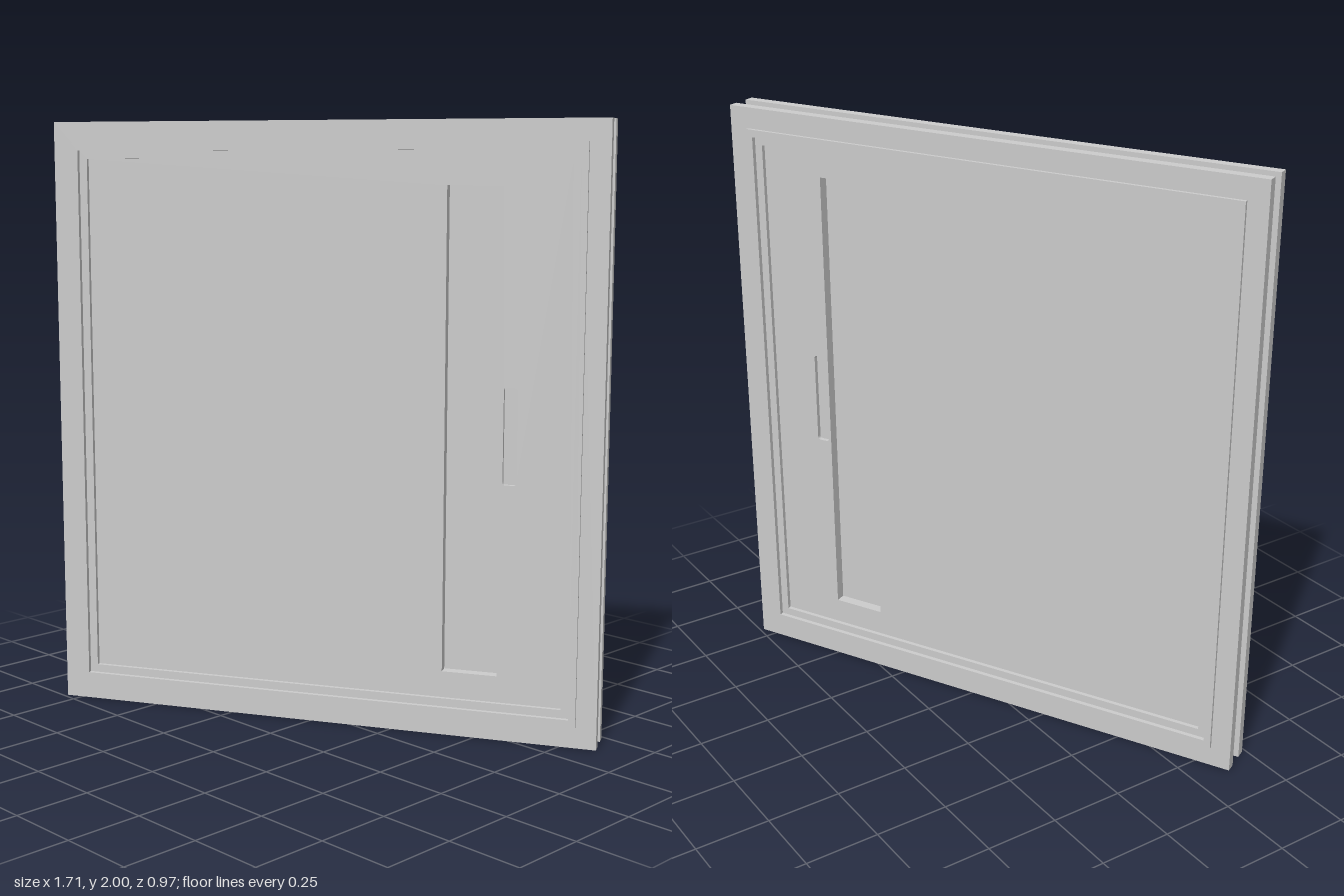
import * as THREE from 'three';

const material = new THREE.MeshStandardMaterial({ color: 0xcccccc });
const MID = 1; // half height of the door

// Rectangle outline with optional rounded corners
function rect(PathType, x0, x1, y0, y1, r = 0) {
  const p = new PathType();
  if (!r) {
    p.moveTo(x0, y0); p.lineTo(x1, y0); p.lineTo(x1, y1); p.lineTo(x0, y1);
  } else {
    p.moveTo(x0 + r, y0);
    p.lineTo(x1 - r, y0); p.quadraticCurveTo(x1, y0, x1, y0 + r);
    p.lineTo(x1, y1 - r); p.quadraticCurveTo(x1, y1, x1 - r, y1);
    p.lineTo(x0 + r, y1); p.quadraticCurveTo(x0, y1, x0, y1 - r);
    p.lineTo(x0, y0 + r); p.quadraticCurveTo(x0, y0, x0 + r, y0);
  }
  p.closePath();
  return p;
}

// Centred plate of given half sizes
const plate = (PathType, w, h) => rect(PathType, -w, w, MID - h, MID + h);

function extrude(name, shape, holes, z0, z1) {
  shape.holes.push(...holes);
  const geometry = new THREE.ExtrudeGeometry(shape, {
    depth: z1 - z0, bevelEnabled: false, curveSegments: 4,
  });
  geometry.translate(0, 0, z0);
  const mesh = new THREE.Mesh(geometry, material);
  mesh.name = name;
  return mesh;
}

// Rectangular ring between two half sizes
const ring = (name, [w, h], [iw, ih], z0, z1) =>
  extrude(name, plate(THREE.Shape, w, h), [plate(THREE.Path, iw, ih)], z0, z1);

function box(name, x0, x1, y0, y1, z0, z1) {
  const mesh = new THREE.Mesh(new THREE.BoxGeometry(x1 - x0, y1 - y0, z1 - z0), material);
  mesh.position.set((x0 + x1) / 2, (y0 + y1) / 2, (z0 + z1) / 2);
  mesh.name = name;
  return mesh;
}

export function createModel() {
  const door = new THREE.Group();
  door.name = 'door';

  // Half sizes of the nested outlines
  const outer = [0.935, 1], groove = [0.915, 0.98];
  const trimOut = [0.868, 0.93], trimIn = [0.845, 0.905], panel = [0.818, 0.878];

  // Recessed core that leaves a groove round the edge
  door.add(ring('edgeCore', groove, panel, -0.026, 0.026));
  door.add(box('panelCore', -panel[0], panel[0], MID - panel[1], MID + panel[1], -0.007, 0.007));

  // One leaf of the door; the back leaf has the same outlines
  for (const side of [1, -1]) {
    const leaf = new THREE.Group();
    leaf.name = side > 0 ? 'frontLeaf' : 'backLeaf';
    const add = (make, name, a, b, z0, z1) =>
      leaf.add(side > 0 ? make(name, a, b, z0, z1) : make(name, a, b, -z1, -z0));

    add(ring, 'frame', outer, trimIn, 0.026, 0.06);
    add(ring, 'raisedTrim', trimOut, trimIn, 0.06, 0.071);
    add(ring, 'innerStep', trimIn, panel, 0.026, 0.056);

    // Panel with the tall pocket and the small grip slot
    add(extrude, 'panel', plate(THREE.Shape, ...panel), [
      rect(THREE.Path, 0.42, 0.603, 0.21, 1.795),
      rect(THREE.Path, 0.612, 0.657, 0.845, 1.16, 0.01),
    ], 0.007, 0.042);
    add(extrude, 'gripSlotFloor', rect(THREE.Shape, 0.612, 0.657, 0.845, 1.16, 0.01), [], 0.007, 0.027);
    door.add(leaf);
  }

  // The door stands turned about its upright axis
  door.rotation.y = THREE.MathUtils.degToRad(27.6);
  const model = new THREE.Group();
  model.name = 'doorModel';
  model.add(door);
  return model;
}
